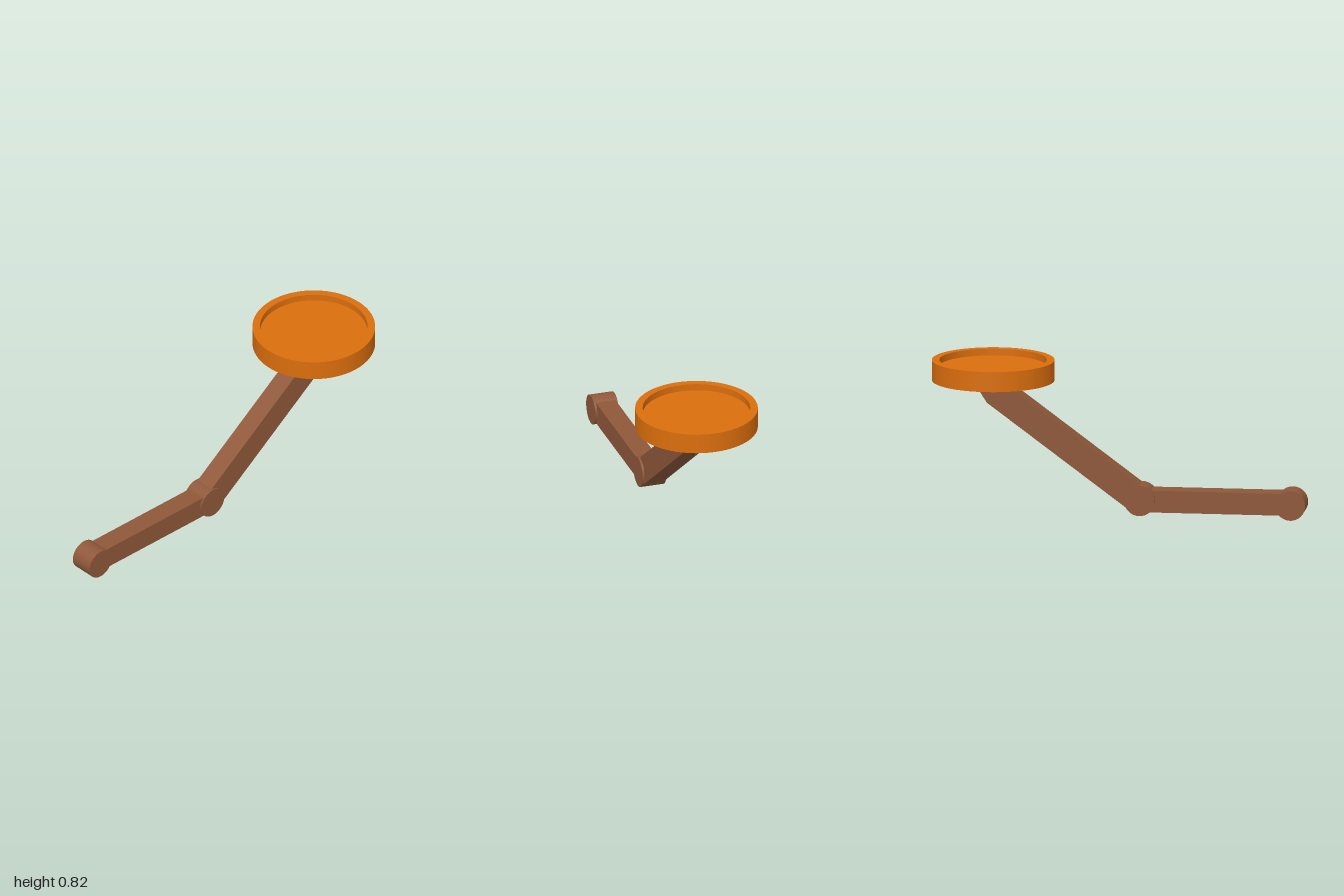
import * as THREE from 'three';

const brown = new THREE.MeshStandardMaterial({ color: 0x8f583a });
brown.name = 'brown';
const orange = new THREE.MeshStandardMaterial({ color: 0xdb6e0d });
orange.name = 'orange';

const ARM_Z = 0.004; // shared centre plane of the linkage
const ARM_WIDTH = 0.109;

function add(group, name, geometry, material, x, y, z) {
  const mesh = new THREE.Mesh(geometry, material);
  mesh.name = name;
  mesh.position.set(x, y, z);
  group.add(mesh);
}

// Pivot pin lying along z
function pivot(radius) {
  return new THREE.CylinderGeometry(radius, radius, 0.131, 64).rotateX(Math.PI / 2);
}

// Side outline extruded to the arm width, centred on z
function arm(points) {
  const shape = new THREE.Shape(points.map(([x, y]) => new THREE.Vector2(x, y)));
  return new THREE.ExtrudeGeometry(shape, { depth: ARM_WIDTH, bevelEnabled: false })
    .translate(0, 0, -ARM_WIDTH / 2);
}

export function createModel() {
  const model = new THREE.Group();
  model.name = 'jointedArmWithTray';

  // Linkage
  add(model, 'endPivot', pivot(0.08), brown, -0.92, 0.081, ARM_Z);
  add(model, 'elbowPivot', pivot(0.082), brown, -0.115, 0.088, ARM_Z);
  add(model, 'lowerArm', arm([[-0.92, 0.025], [-0.115, 0.025], [-0.115, 0.143], [-0.92, 0.143]]),
    brown, 0, 0, ARM_Z);
  add(model, 'upperArm', arm([[-0.055, 0.038], [0.7, 0.597], [0.735, 0.652], [0.735, 0.69],
    [0.585, 0.69], [-0.125, 0.163]]), brown, 0, 0, ARM_Z);

  // Round mount under the tray
  add(model, 'trayHub', new THREE.CylinderGeometry(0.16, 0.16, 0.026, 64), orange, 0.672, 0.7, 0);

  // Solid lower disc with a raised rim around the recess
  add(model, 'trayBase', new THREE.CylinderGeometry(0.325, 0.325, 0.073, 96), orange, 0.672, 0.7475, 0);
  const ring = new THREE.Shape().absarc(0, 0, 0.325, 0, Math.PI * 2);
  ring.holes.push(new THREE.Path().absarc(0, 0, 0.285, 0, Math.PI * 2, true));
  const rim = new THREE.ExtrudeGeometry(ring, { depth: 0.036, bevelEnabled: false, curveSegments: 48 });
  add(model, 'trayRim', rim.rotateX(-Math.PI / 2), orange, 0.672, 0.784, 0);

  return model;
}
